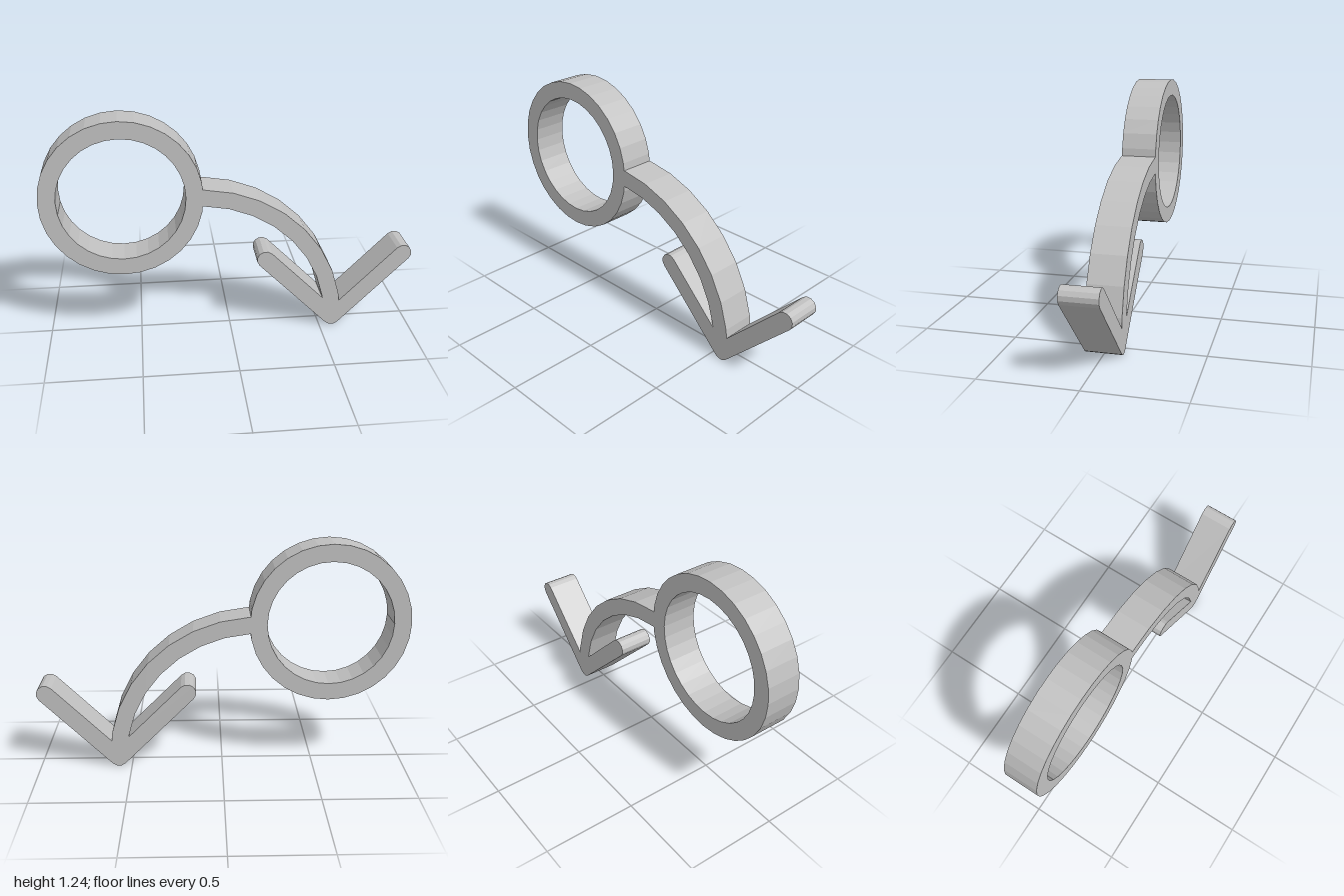
import * as THREE from 'three';

const DEPTH = 0.19;
const rad = THREE.MathUtils.degToRad;

// Points along a circular arc, angles in degrees from +x
function arc(cx, cy, r, from, to, steps) {
  return Array.from({ length: steps + 1 }, (_, i) => {
    const a = rad(from + ((to - from) * i) / steps);
    return new THREE.Vector2(cx + r * Math.cos(a), cy + r * Math.sin(a));
  });
}

export function createModel() {
  const group = new THREE.Group();
  const grey = new THREE.MeshStandardMaterial({ color: 0xc0c0c0 });
  grey.name = 'light grey';

  // Extrudes an outline evenly to both sides of z = 0
  function plate(name, points, hole) {
    const shape = new THREE.Shape(points);
    if (hole) shape.holes.push(new THREE.Path(hole));
    const geometry = new THREE.ExtrudeGeometry(shape, { depth: DEPTH, bevelEnabled: false });
    geometry.translate(0, 0, -DEPTH / 2);
    const mesh = new THREE.Mesh(geometry, grey);
    mesh.name = name;
    group.add(mesh);
  }

  // Round ring
  const circle = (r) => arc(-0.573, 0.813, r, 0, 348.75, 31);
  plate('ring', circle(0.427), circle(0.335));

  // Curved stem, its ends buried in the ring and the arrowhead
  const stemEdge = (r) => [...arc(-0.19, 0.05, r, 0, 86.4, 8), ...arc(-0.19, 0.05, r, 91, 91, 1).slice(0, 1)];
  plate('stem', [...stemEdge(0.806), ...stemEdge(0.714).reverse()]);

  // Arrowhead: two arms with rounded ends meeting at a rounded tip
  const tipX = 0.571, tipY = 0.048, r = 0.048, reach = 0.382;
  plate('arrowhead', [
    ...arc(tipX, tipY, r, 225, 315, 3),
    ...arc(tipX + reach, tipY + reach, r, -45, 135, 6),
    new THREE.Vector2(tipX, tipY + r * Math.SQRT2),
    ...arc(tipX - reach, tipY + reach, r, 45, 225, 6),
  ]);

  return group;
}
